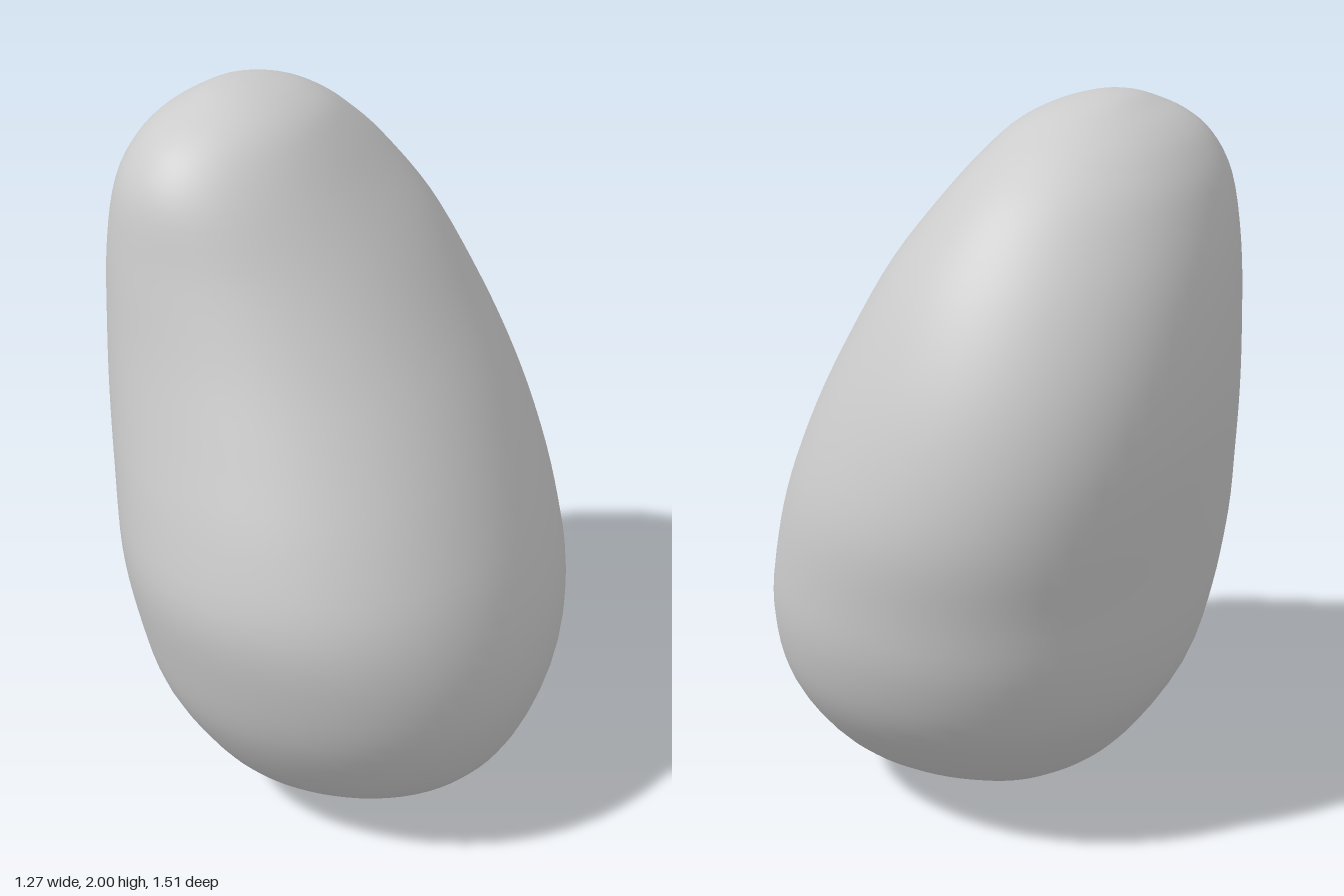
import * as THREE from 'three';

// Horizontal cross-sections: height, min x, max x, min z, max z, skew angle
const SECTIONS = [
  [0.000, -0.02, -0.02, 0.04, 0.04, 0],
  [0.006, -0.075, 0.03, -0.02, 0.125, 0],
  [0.020, -0.125, 0.09, -0.09, 0.20, 0],
  [0.045, -0.175, 0.20, -0.16, 0.28, 0],
  [0.10, -0.26, 0.40, -0.28, 0.40, 0],
  [0.20, -0.37, 0.53, -0.43, 0.535, 0.02],
  [0.40, -0.50, 0.615, -0.61, 0.67, 0.04],
  [0.60, -0.56, 0.63, -0.70, 0.735, 0.05],
  [0.80, -0.59, 0.59, -0.735, 0.755, 0.04],
  [1.00, -0.615, 0.52, -0.755, 0.70, 0.04],
  [1.20, -0.635, 0.43, -0.73, 0.615, 0.03],
  [1.40, -0.635, 0.32, -0.67, 0.53, -0.01],
  [1.60, -0.615, 0.20, -0.57, 0.46, -0.08],
  [1.77, -0.57, 0.075, -0.44, 0.41, -0.14],
  [1.87, -0.515, -0.005, -0.325, 0.35, -0.16],
  [1.93, -0.455, -0.065, -0.235, 0.28, -0.16],
  [1.97, -0.385, -0.135, -0.155, 0.20, -0.14],
  [1.993, -0.33, -0.21, -0.06, 0.12, -0.1],
  [2.000, -0.27, -0.27, 0.035, 0.035, 0],
];
const STEM = new THREE.Vector3(0.17, 0.07, -0.14);

// Catmull-Rom blend of neighbouring sections
function sectionAt(s) {
  const last = SECTIONS.length - 1;
  const i = Math.min(Math.floor(s), last - 1), t = s - i;
  const row = k => SECTIONS[Math.max(0, Math.min(last, k))];
  const [p, q, r, u] = [row(i - 1), row(i), row(i + 1), row(i + 2)];
  return q.map((b, k) => {
    const m0 = (r[k] - p[k]) / 2, m1 = (u[k] - b) / 2, d = r[k] - b;
    return b + t * (m0 + t * (3 * d - 2 * m0 - m1 + t * (m0 + m1 - 2 * d)));
  });
}

function fruitGeometry(sides = 72, steps = 4) {
  const positions = [], index = [];
  const rings = (SECTIONS.length - 1) * steps;
  const first = SECTIONS[0], top = SECTIONS[SECTIONS.length - 1];
  positions.push(first[1], first[0], first[3]);
  for (let j = 1; j < rings; j++) {
    const [y, x0, x1, z0, z1, skew] = sectionAt(j / steps);
    for (let i = 0; i < sides; i++) {
      const a = (i / sides) * Math.PI * 2;
      // slightly fuller than an ellipse on the diagonals
      const full = 1 + 0.025 * Math.sin(2 * a) ** 2;
      const x = (x0 + x1) / 2 + (x1 - x0) / 2 * Math.cos(a) * full;
      const z = (z0 + z1) / 2 + (z1 - z0) / 2 * Math.sin(a + skew) * full;
      // shallow dimple around the stem
      const d2 = (x - STEM.x) ** 2 + (z - STEM.z) ** 2;
      const dimple = y < 0.4 ? 0.02 * Math.exp(-d2 / 0.006) : 0;
      positions.push(x, y + dimple, z);
    }
  }
  positions.push(top[1], top[0], top[3]);
  const at = (j, i) => 1 + (j - 1) * sides + (i % sides);
  const tip = 1 + (rings - 1) * sides;
  for (let i = 0; i < sides; i++) {
    index.push(0, at(1, i), at(1, i + 1));
    index.push(tip, at(rings - 1, i + 1), at(rings - 1, i));
    for (let j = 1; j < rings - 1; j++) {
      const a = at(j, i), b = at(j, i + 1), c = at(j + 1, i + 1), d = at(j + 1, i);
      index.push(a, d, c, a, c, b);
    }
  }
  const g = new THREE.BufferGeometry();
  g.setAttribute('position', new THREE.Float32BufferAttribute(positions, 3));
  g.setIndex(index);
  g.computeVertexNormals();
  return g;
}

export function createModel() {
  const group = new THREE.Group();
  group.name = 'mangoFruit';
  const material = new THREE.MeshStandardMaterial({ color: 0xcccccc });

  // Leaning fruit body
  const body = new THREE.Mesh(fruitGeometry(), material);
  body.name = 'fruitBody';
  group.add(body);

  // Short stem stub, flared where it meets the skin
  const profile = [[0.07, -0.03], [0.042, -0.01], [0.03, 0.006], [0.042, 0.02], [0.036, 0.032], [0, 0.034]]
    .map(([r, h]) => new THREE.Vector2(r, h));
  const stem = new THREE.Mesh(new THREE.LatheGeometry(profile, 16), material);
  stem.name = 'stemStub';
  stem.position.copy(STEM);
  stem.quaternion.setFromUnitVectors(new THREE.Vector3(0, 1, 0), new THREE.Vector3(0.1, -1, -0.3).normalize());
  group.add(stem);

  return group;
}
